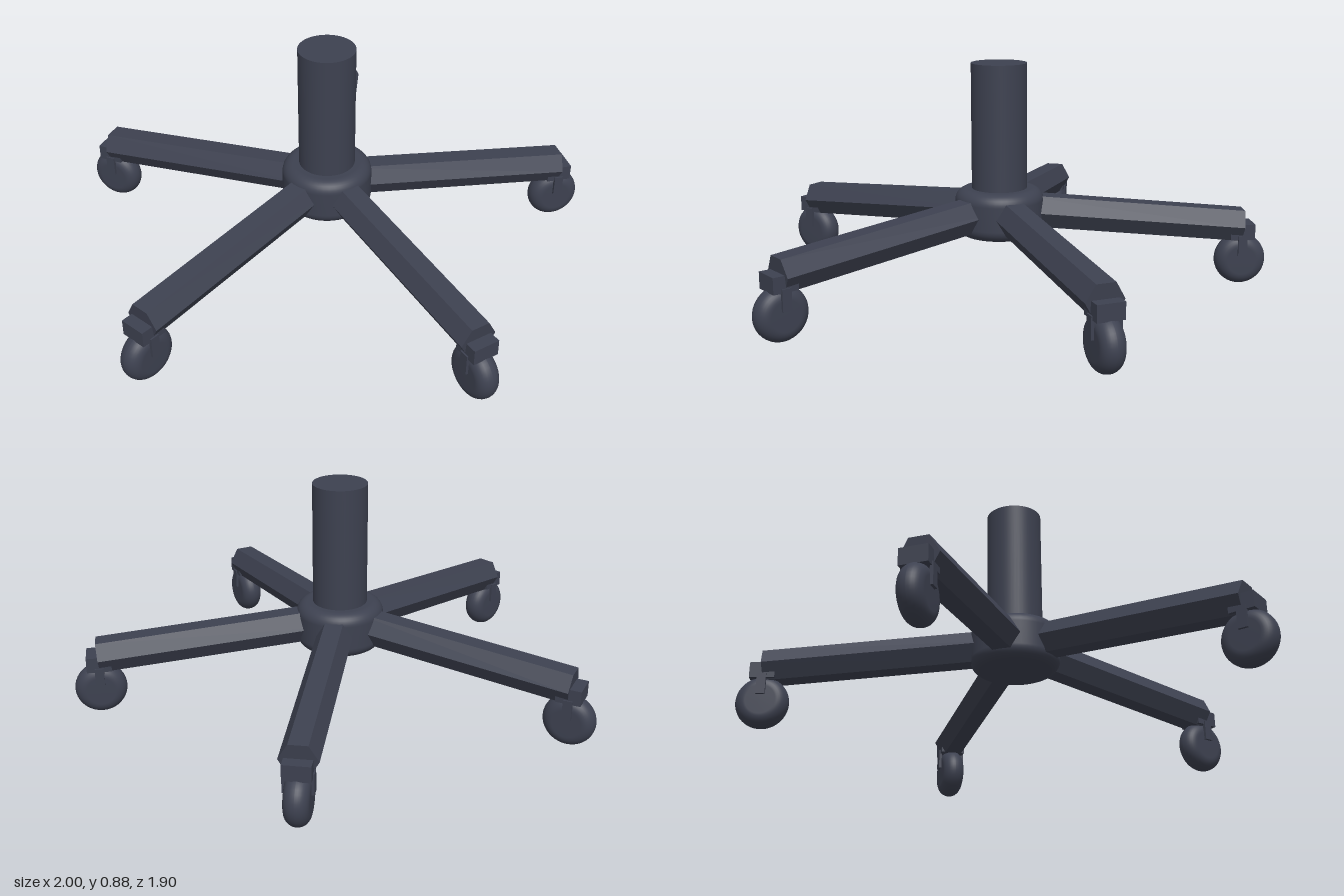
import * as THREE from 'three';

const charcoal = new THREE.MeshStandardMaterial({ color: 0x3d4150 });
charcoal.name = 'charcoal';

function part(name, geometry, parent) {
  const mesh = new THREE.Mesh(geometry, charcoal);
  mesh.name = name;
  parent.add(mesh);
  return mesh;
}

// Lathe profile of a disc with rounded rims, from y0 up to y1
function roundedDisc(radius, y0, y1, round, segments) {
  const points = [new THREE.Vector2(0, y0)];
  const steps = 8;
  for (let i = 0; i <= steps; i++) {
    const a = -Math.PI / 2 + (i / steps) * Math.PI / 2;
    points.push(new THREE.Vector2(radius - round + Math.cos(a) * round, y0 + round + Math.sin(a) * round));
  }
  for (let i = 0; i <= steps; i++) {
    const a = (i / steps) * Math.PI / 2;
    const p = new THREE.Vector2(radius - round + Math.cos(a) * round, y1 - round + Math.sin(a) * round);
    if (p.distanceTo(points[points.length - 1]) > 1e-4) points.push(p);
  }
  points.push(new THREE.Vector2(0, y1));
  return new THREE.LatheGeometry(points, segments);
}

// Caster centred under its arm's tip, rolling along local x
function createCaster() {
  const caster = new THREE.Group();
  caster.name = 'caster';
  const wheel = part('wheel', roundedDisc(0.1, -0.045, 0.045, 0.044, 40), caster);
  wheel.rotation.x = Math.PI / 2;
  wheel.position.y = 0.1;
  part('forkCrown', new THREE.BoxGeometry(0.095, 0.06, 0.1), caster).position.y = 0.215;
  for (const side of [-1, 1]) {
    part('forkLeg', new THREE.BoxGeometry(0.035, 0.08, 0.012), caster).position.set(0, 0.16, side * 0.049);
  }
  return caster;
}

// Sloping six-sided arm along local x, flat face up
function createLeg() {
  const leg = new THREE.Group();
  leg.name = 'leg';
  const rise = 0.079, run = 0.9;
  const geometry = new THREE.CylinderGeometry(0.07, 0.07, Math.hypot(run, rise), 6).toNonIndexed();
  geometry.computeVertexNormals();
  const arm = part('arm', geometry, leg);
  arm.rotation.z = -Math.PI / 2 - Math.atan2(rise, run);
  arm.position.set(0.05 + run / 2, 0.238 + rise / 2, 0);
  const caster = createCaster();
  caster.position.x = 0.947;
  leg.add(caster);
  return leg;
}

export function createModel() {
  const model = new THREE.Group();
  model.name = 'swivelChairBase';

  // Everything radiates from the column axis
  const base = new THREE.Group();
  base.name = 'base';
  base.position.z = 0.094;
  model.add(base);

  part('column', new THREE.CylinderGeometry(0.106, 0.106, 0.5, 48), base).position.y = 0.63;
  part('hub', roundedDisc(0.17, 0.217, 0.4, 0.045, 48), base);

  // Five legs, the first pointing straight back
  for (let i = 0; i < 5; i++) {
    const leg = createLeg();
    leg.rotation.y = Math.PI / 2 + (i * Math.PI * 2) / 5;
    base.add(leg);
  }
  return model;
}
